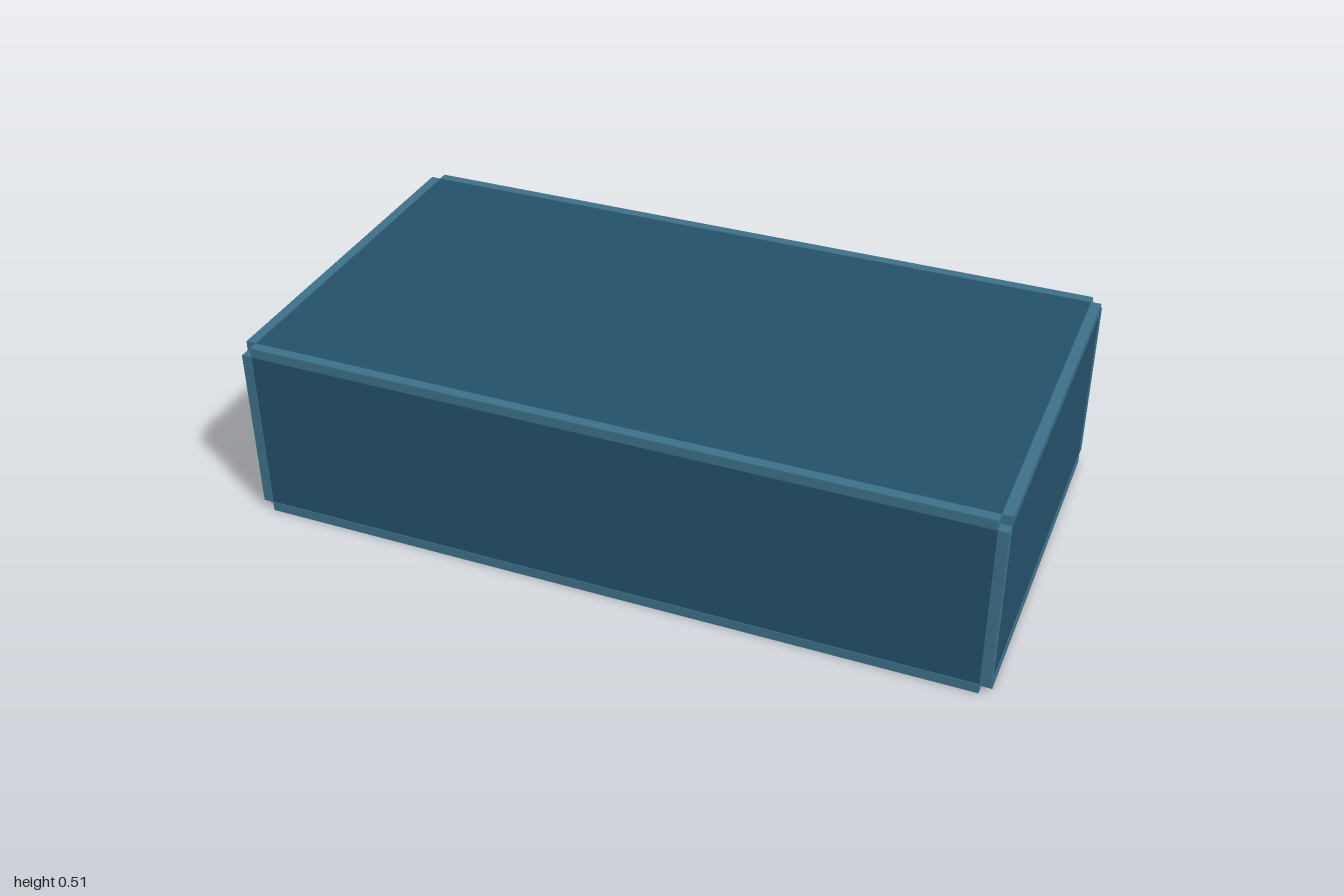
import * as THREE from 'three';

const T = 0.027;                       // thickness of edge bars and panels
const W = 1, H = 0.515;                // half width, full height
const ZF = 0.54, ZB = -0.515;          // front and back of the case
const ZC = (ZF + ZB) / 2, D = ZF - ZB;

const mat = (color) => new THREE.MeshStandardMaterial({ color });

export function createModel() {
  const model = new THREE.Group();
  const panelMat = mat(0x24506a), barMat = mat(0x3d7088), rimMat = mat(0x54979b);
  const paneMat = mat(0x16294a), dividerMat = mat(0x66bfae);

  function box(name, size, pos, material, parent = model) {
    const mesh = new THREE.Mesh(new THREE.BoxGeometry(...size), material);
    mesh.position.set(...pos);
    mesh.name = name;
    parent.add(mesh);
    return mesh;
  }

  // Rectangular ring, extruded from z0 to z1
  function ring(name, hw, hh, width, z0, z1, material) {
    const rect = (S, x, y) => new S([[-x, -y], [x, -y], [x, y], [-x, y]].map((p) => new THREE.Vector2(...p)));
    const shape = rect(THREE.Shape, hw, hh);
    shape.holes.push(rect(THREE.Path, hw - width, hh - width));
    const geo = new THREE.ExtrudeGeometry(shape, { depth: z1 - z0, bevelEnabled: false });
    const mesh = new THREE.Mesh(geo, material);
    mesh.position.set(0, H / 2, z0);
    mesh.name = name;
    model.add(mesh);
  }

  // Twelve edge bars that stop short of the corners
  const bars = new THREE.Group();
  bars.name = 'edgeBars';
  model.add(bars);
  const half = [W - T / 2, (H - T) / 2, (D - T) / 2];
  const centre = [0, H / 2, ZC];
  const full = [2 * W, H, D];
  for (let axis = 0; axis < 3; axis++) {
    const b = (axis + 1) % 3, c = (axis + 2) % 3;
    for (const sb of [-1, 1]) for (const sc of [-1, 1]) {
      const size = [T, T, T], pos = [...centre];
      size[axis] = full[axis] - 2 * T;
      pos[b] += sb * half[b];
      pos[c] += sc * half[c];
      box('edgeBar', size, pos, barMat, bars);
    }
  }

  // Panels set a hair inside the bars; the back is closed by the window
  const inset = 0.002;
  const names = ['sidePanel', 'horizontalPanel', 'frontPanel'];
  for (let axis = 0; axis < 3; axis++) for (const s of [-1, 1]) {
    if (axis === 2 && s < 0) continue;
    const size = full.map((v) => v - 2 * T), pos = [...centre];
    size[axis] = T;
    pos[axis] += s * (half[axis] - inset);
    box(names[axis], size, pos, panelMat);
  }

  // Stepped frame around the back window
  const fw = W - T, fh = H / 2 - T;
  ring('backRim', fw, fh, T, -0.54, ZB + T, rimMat);
  ring('innerRim', fw - T, fh - T, T, -0.525, ZB + T, barMat);

  // Recessed pane with two upright dividers at its thirds
  const pw = fw - 2 * T, ph = fh - 2 * T;
  box('windowPane', [2 * pw, 2 * ph, 0.02], [0, H / 2, -0.498], paneMat);
  for (const s of [-1, 1]) {
    box('windowDivider', [T, 2 * ph - 2 * T, 0.012], [s * pw / 3, H / 2, -0.512], dividerMat);
  }
  return model;
}
